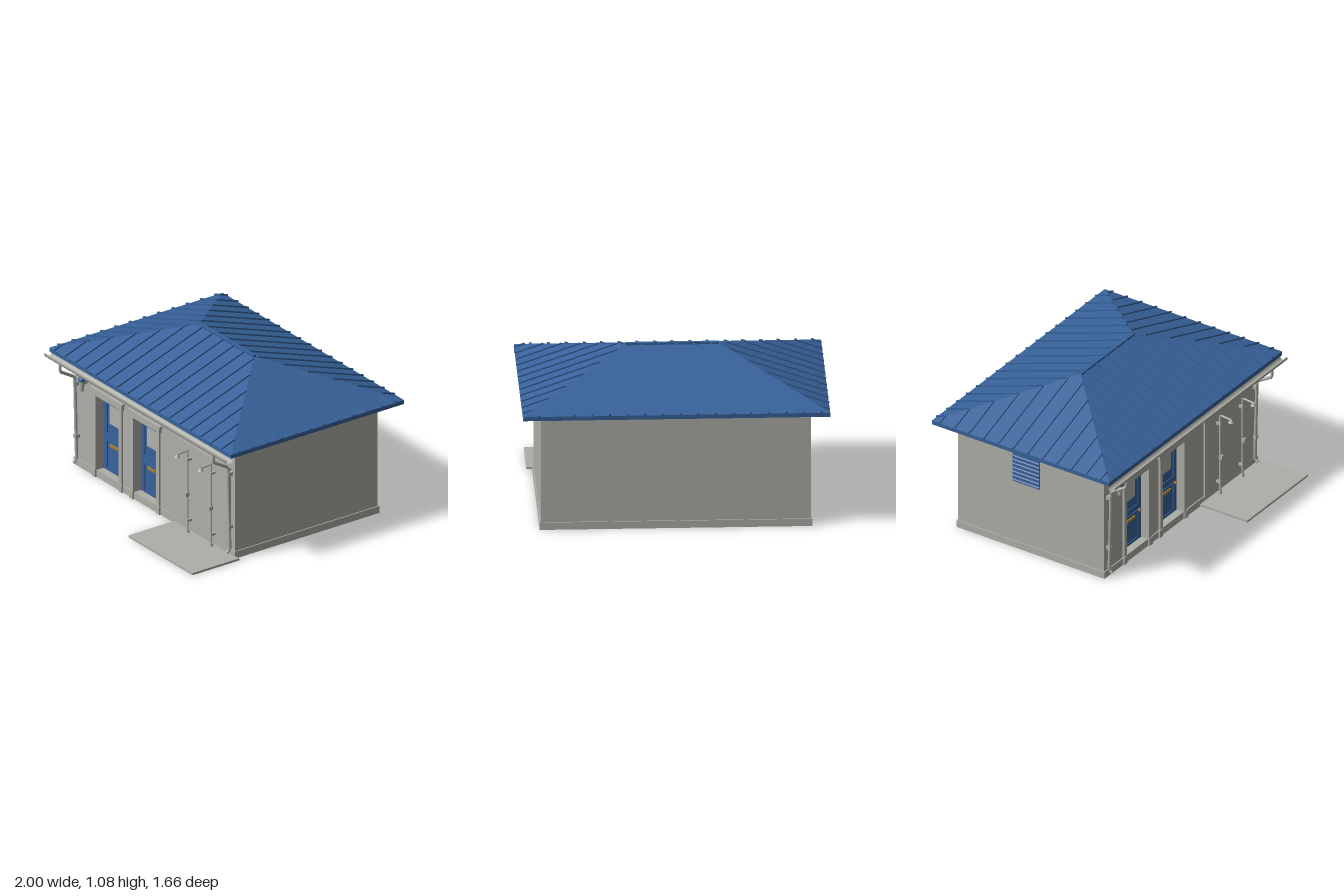
import * as THREE from 'three';

const mat = (name, color, side = THREE.FrontSide) => {
  const m = new THREE.MeshStandardMaterial({ color, side });
  m.name = name;
  return m;
};

export function createModel() {
  const grey = mat('wall grey', 0xafafa9);
  const greyOpen = mat('gutter grey', 0xafafa9, THREE.DoubleSide);
  const blue = mat('roof and door blue', 0x37629a);
  const soffitMat = mat('dark soffit', 0x4f4b46);
  const brass = mat('brass', 0xa8802f);
  const glass = mat('frosted glass', 0xb2b2b0);

  const model = new THREE.Group();
  model.name = 'washroomBuilding';

  const part = (name, geo, m, parent = model) => {
    const mesh = new THREE.Mesh(geo, m);
    mesh.name = name;
    parent.add(mesh);
    return mesh;
  };
  // Box given by its limits on each axis
  const box = (name, m, x0, x1, y0, y1, z0, z1, parent = model) => {
    const mesh = part(name, new THREE.BoxGeometry(x1 - x0, y1 - y0, z1 - z0), m, parent);
    mesh.position.set((x0 + x1) / 2, (y0 + y1) / 2, (z0 + z1) / 2);
    return mesh;
  };
  // Square bar between two points
  const bar = (name, m, a, b, w, h, parent = model) => {
    const mesh = part(name, new THREE.BoxGeometry(w, h, a.distanceTo(b)), m, parent);
    mesh.position.copy(a).add(b).multiplyScalar(0.5);
    mesh.lookAt(b);
    return mesh;
  };
  // Straight-segment pipe through a few points
  const pipe = (name, points, r, parent = model) => {
    const path = new THREE.CurvePath();
    const v = points.map((p) => new THREE.Vector3(...p));
    for (let i = 0; i < v.length - 1; i++) path.add(new THREE.LineCurve3(v[i], v[i + 1]));
    return part(name, new THREE.TubeGeometry(path, 40, r, 10), greyOpen, parent);
  };
  const cylinder = (name, m, rTop, rBottom, h, x, y, z, parent = model) => {
    const mesh = part(name, new THREE.CylinderGeometry(rTop, rBottom, h, 16), m, parent);
    mesh.position.set(x, y, z);
    return mesh;
  };
  const rect = (Type, x0, x1, y0, y1) => new Type([[x0, y0], [x1, y0], [x1, y1], [x0, y1]]
    .map((p) => new THREE.Vector2(...p)));
  const extrude = (shape, depth) => new THREE.ExtrudeGeometry(shape, { depth, bevelEnabled: false });

  // Walls: open at the bottom, with two door openings in front
  const doors = [-0.51, -0.097];
  const F = 0.447, B = -0.703;
  const wall = rect(THREE.Shape, -0.88, 0.88, 0, 0.8);
  doors.forEach((x) => wall.holes.push(rect(THREE.Path, x - 0.125, x + 0.125, 0.05, 0.58)));
  part('frontWall', extrude(wall, 0.02), grey).position.z = F - 0.02;
  box('backWall', grey, -0.88, 0.88, 0, 0.8, B, B + 0.02);
  for (const s of [-1, 1]) {
    box('sideWall', grey, s * 0.87 - 0.01, s * 0.87 + 0.01, 0, 0.8, B + 0.02, F - 0.02);
    box('sidePlinth', grey, s * 0.883 - 0.005, s * 0.883 + 0.005, 0, 0.05, B - 0.008, F + 0.008);
  }
  box('backPlinth', grey, -0.88, 0.88, 0, 0.05, B - 0.008, B);
  box('frontPlinth', grey, -0.88, 0.88, 0, 0.05, F, F + 0.008);

  // Hipped roof
  const E = 0.825, R = 1.067, zf = 0.568, zb = -0.828, zr = (zf + zb) / 2, rx = 0.302;
  const roof = new THREE.Group();
  roof.name = 'roof';
  model.add(roof);
  const A = [-1, E, zf], Bc = [1, E, zf], C = [1, E, zb], D = [-1, E, zb];
  const L = [-rx, R, zr], Q = [rx, R, zr];
  const hip = new THREE.BufferGeometry();
  hip.setAttribute('position', new THREE.Float32BufferAttribute([
    A, Bc, Q, A, Q, L, Bc, C, Q, C, D, L, C, L, Q, D, A, L].flat(), 3));
  hip.computeVertexNormals();
  part('roofSlopes', hip, blue, roof);
  const fascia = box('fascia', blue, -1, 1, 0.797, E, zb, zf, roof);
  fascia.material = [blue, blue, blue, soffitMat, blue, blue];
  box('ridgeCap', blue, -0.305, 0.305, R - 0.006, 1.078, zr - 0.012, zr + 0.012, roof);

  // Standing seams, each from the eave up to the ridge or hip
  const half = zf - zr, up = 0.003;
  for (let i = 0; i < 17; i++) {
    const x = -0.945 + i * 0.115;
    const t = Math.min(1, (1 - Math.abs(x)) / (1 - rx));
    for (const s of [-1, 1]) {
      bar('roofSeam', blue, new THREE.Vector3(x, E + up, zr + s * half),
        new THREE.Vector3(x, E + up + t * (R - E), zr + s * half * (1 - t)), 0.01, 0.014, roof);
    }
  }
  for (let i = 0; i < 12; i++) {
    const z = -0.765 + i * 0.115;
    const t = 1 - Math.abs(z - zr) / half;
    for (const s of [-1, 1]) {
      bar('roofSeam', blue, new THREE.Vector3(s, E + up, z),
        new THREE.Vector3(s * (1 - t * (1 - rx)), E + up + t * (R - E), z), 0.01, 0.014, roof);
    }
  }

  // Half-round gutter
  const gutter = part('gutter',
    new THREE.CylinderGeometry(0.03, 0.03, 2, 16, 1, true, 0, Math.PI), greyOpen);
  gutter.rotation.z = -Math.PI / 2;
  gutter.position.set(0, 0.793, 0.583);
  gutter.rotation.order = 'XYZ';
  gutter.geometry.rotateY(-Math.PI / 2 + Math.PI / 2);
  box('gutterLip', grey, -1, 1, 0.785, 0.797, 0.605, 0.612);

  // Downpipes
  for (const x of [-0.845, 0.842]) {
    pipe('downpipe', [[x, 0.775, 0.597], [x, 0.72, 0.597], [x, 0.65, 0.478],
      [x, 0.06, 0.463], [x, 0.03, 0.488]], 0.011);
    pipe('downpipeStrut', [[x, 0.765, 0.56], [x, 0.69, 0.452]], 0.006);
    for (const y of [0.22, 0.6]) box('pipeClip', grey, x - 0.014, x + 0.014, y - 0.012, y + 0.012, F, 0.48);
  }

  // Doors with surrounds
  doors.forEach((cx) => {
    const g = new THREE.Group();
    g.name = 'door';
    g.position.x = cx;
    model.add(g);
    for (const s of [-1, 1]) {
      box('pilaster', grey, s * 0.141 - 0.015, s * 0.141 + 0.015, 0, 0.59, F, 0.462, g);
      box('pilasterBase', grey, s * 0.147 - 0.018, s * 0.147 + 0.018, 0, 0.055, F, 0.466, g);
      box('reveal', grey, s * 0.13 - 0.006, s * 0.13 + 0.006, 0.045, 0.585, 0.38, F, g);
    }
    box('revealTop', grey, -0.13, 0.13, 0.578, 0.59, 0.38, F, g);
    box('threshold', grey, -0.13, 0.13, 0.04, 0.052, 0.38, F + 0.008, g);
    box('frieze', grey, -0.163, 0.163, 0.588, 0.625, F, 0.464, g);
    box('cornice', grey, -0.177, 0.177, 0.625, 0.64, F, 0.472, g);
    box('doorLeaf', blue, -0.124, 0.124, 0.052, 0.578, 0.382, 0.4, g);
    // Raised mouldings on both faces
    for (const [y0, y1] of [[0.315, 0.55], [0.065, 0.28]]) {
      const frame = rect(THREE.Shape, -0.09, 0.09, y0, y1);
      frame.holes.push(rect(THREE.Path, -0.077, 0.077, y0 + 0.013, y1 - 0.013));
      for (const z of [0.4, 0.376]) part('doorMoulding', extrude(frame, 0.006), blue, g).position.z = z;
    }
    box('doorWindow', glass, -0.05, 0.05, 0.4, 0.532, 0.4, 0.405, g);
    box('letterPlate', brass, -0.047, 0.047, 0.237, 0.255, 0.4, 0.41, g);
    box('doorHandle', brass, 0.085, 0.105, 0.268, 0.28, 0.4, 0.418, g);
  });
  box('signPlate', grey, -0.36, -0.115, 0.645, 0.737, F, 0.456);

  // Wall lamp
  const lamp = new THREE.Group();
  lamp.name = 'wallLamp';
  lamp.position.set(-0.755, 0, 0.488);
  model.add(lamp);
  cylinder('lampBody', grey, 0.019, 0.016, 0.075, 0, 0.625, 0, lamp);
  part('lampCap', new THREE.SphereGeometry(0.024, 16, 8, 0, Math.PI * 2, 0, Math.PI / 2), blue, lamp)
    .position.y = 0.664;
  cylinder('lampRim', blue, 0.024, 0.024, 0.008, 0, 0.662, 0, lamp);
  box('lampBracket', grey, -0.008, 0.008, 0.63, 0.65, -0.042, 0, lamp);

  // Outdoor showers on a panel with a paved pad
  box('showerPanel', grey, 0.27, 0.832, 0.03, 0.632, F, 0.457);
  box('showerPad', grey, 0.22, 0.925, 0, 0.015, F, 0.825);
  for (const x of [0.408, 0.667]) {
    const g = new THREE.Group();
    g.name = 'shower';
    g.position.x = x;
    model.add(g);
    pipe('showerPipe', [[0, 0.02, 0.485], [0, 0.607, 0.485], [0, 0.6, 0.568]], 0.007, g);
    cylinder('showerHead', grey, 0.007, 0.02, 0.02, 0, 0.59, 0.57, g);
    cylinder('showerFoot', grey, 0.01, 0.012, 0.02, 0, 0.025, 0.485, g);
    box('showerValve', grey, -0.012, 0.012, 0.278, 0.306, 0.48, 0.506, g);
    for (const y of [0.1, 0.54]) box('showerClip', grey, -0.01, 0.01, y - 0.008, y + 0.008, F, 0.492, g);
  }

  // Louvred vent on the right-hand wall
  const vent = new THREE.Group();
  vent.name = 'louvreVent';
  model.add(vent);
  box('ventBack', blue, -0.884, -0.88, 0.5, 0.71, -0.27, -0.06, vent);
  for (let i = 0; i < 7; i++) {
    const slat = box('ventSlat', blue, -0.892, -0.88, -0.002, 0.002, -0.27, -0.06, vent);
    slat.position.y = 0.515 + i * 0.03;
    slat.rotation.z = 0.6;
  }
  return model;
}
